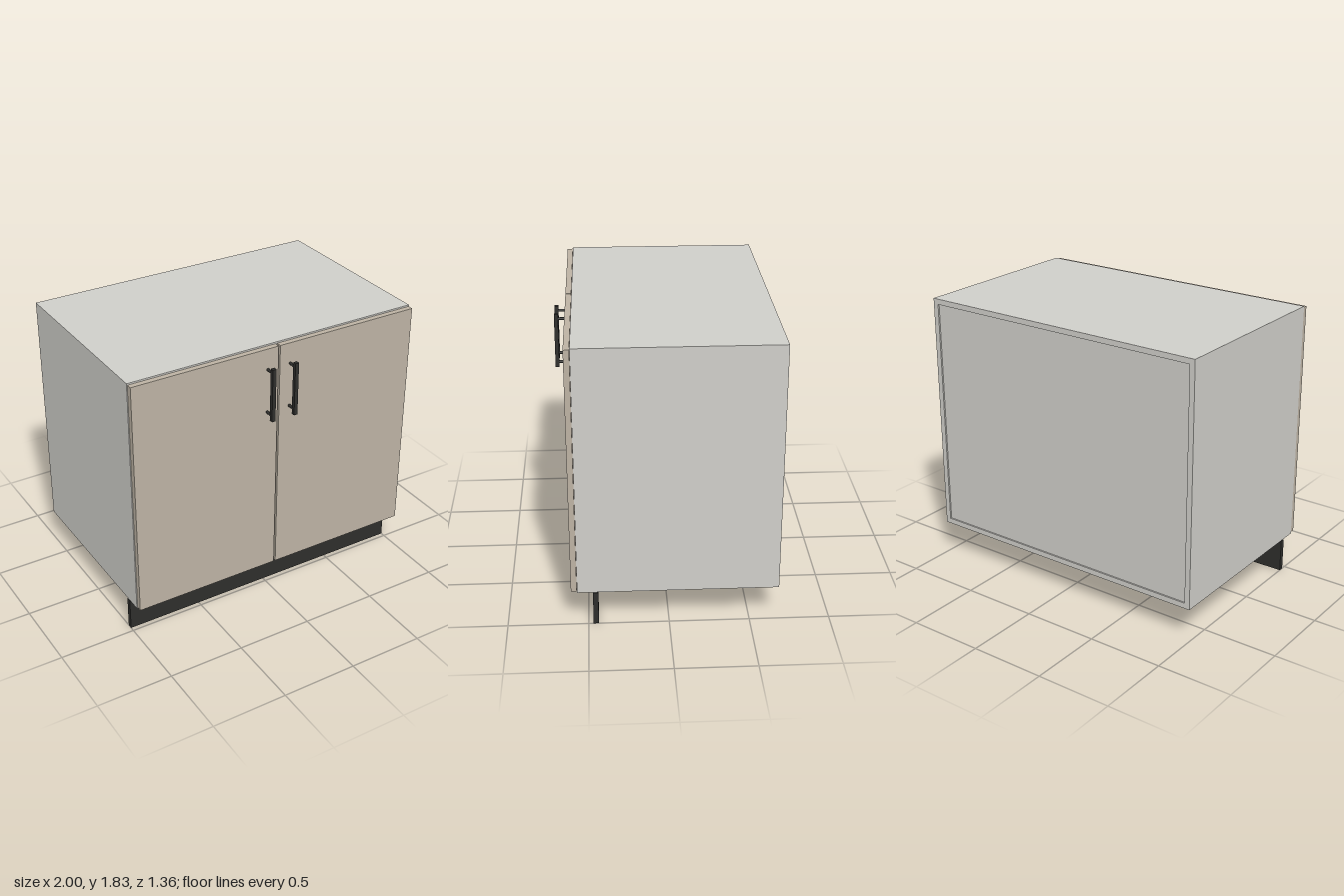
import * as THREE from 'three';

export function createModel() {
  const model = new THREE.Group();
  model.name = 'baseCabinet';
  const carcassMat = new THREE.MeshStandardMaterial({ color: 0xd0cfca });
  const doorMat = new THREE.MeshStandardMaterial({ color: 0xbdb3a4 });
  const darkMat = new THREE.MeshStandardMaterial({ color: 0x2e2e2c });

  // Box given by its minimum and maximum corners
  function box(name, material, [x0, y0, z0], [x1, y1, z1], parent = model) {
    const mesh = new THREE.Mesh(new THREE.BoxGeometry(x1 - x0, y1 - y0, z1 - z0), material);
    mesh.position.set((x0 + x1) / 2, (y0 + y1) / 2, (z0 + z1) / 2);
    mesh.name = name;
    parent.add(mesh);
  }

  const T = 0.036; // board thickness
  const bottom = 0.225, top = 1.825, back = -0.68, front = 0.567;
  const inner = 1 - T;

  // Hollow carcass with inset back panel and a shelf
  box('leftSide', carcassMat, [inner, bottom, back], [1, top, front]);
  box('rightSide', carcassMat, [-1, bottom, back], [-inner, top, front]);
  box('bottomPanel', carcassMat, [-inner, bottom, back], [inner, bottom + T, front]);
  box('topPanel', carcassMat, [-inner, top - T, back], [inner, top, front]);
  box('backPanel', carcassMat, [-inner, bottom + T, back + 0.01], [inner, top - T, back + 0.03]);
  box('shelf', carcassMat, [-inner, 1.03, back + 0.03], [inner, 1.03 + T, front - 0.04]);

  // Recessed plinth
  box('plinth', darkMat, [-1, 0, 0.437], [1, 0.22, 0.47]);

  // Mirrored doors, each with a bar handle on two round posts
  for (const [side, s] of [['left', 1], ['right', -1]]) {
    const mid = s * 0.501, half = 0.495;
    box(side + 'Door', doorMat, [mid - half, 0.233, 0.569], [mid + half, 1.816, 0.605]);

    const handle = new THREE.Group();
    handle.name = side + 'Handle';
    const x = s * 0.08;
    box('handleBar', darkMat, [x - 0.0125, 1.355, 0.655], [x + 0.0125, 1.71, 0.68], handle);
    for (const y of [1.387, 1.678]) {
      const post = new THREE.Mesh(new THREE.CylinderGeometry(0.009, 0.009, 0.054, 16), darkMat);
      post.rotation.x = Math.PI / 2;
      post.position.set(x, y, 0.631);
      post.name = 'handlePost';
      handle.add(post);
    }
    model.add(handle);
  }
  return model;
}
